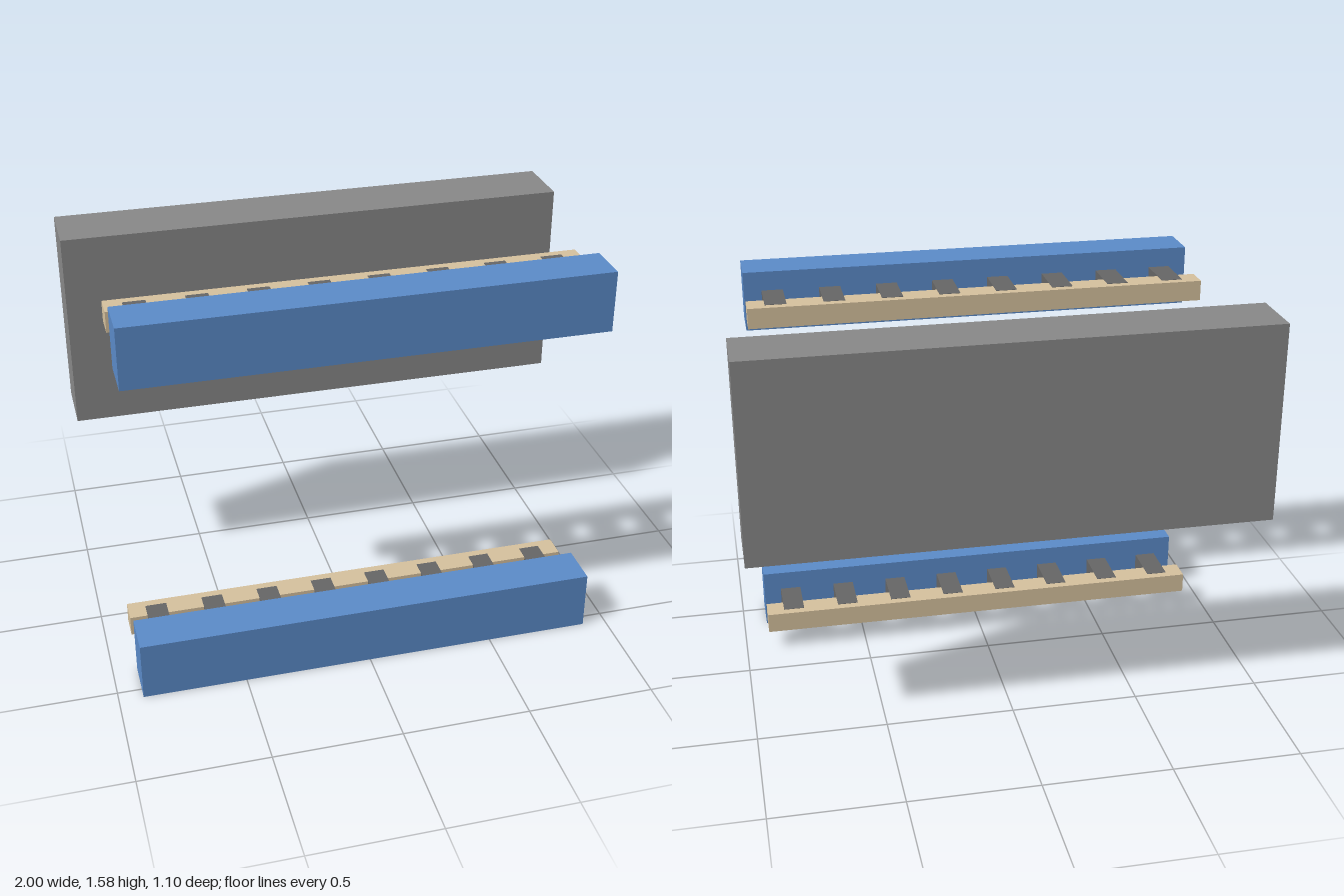
import * as THREE from 'three';

const blue = new THREE.MeshStandardMaterial({ color: 0x5b8bc9 });
const tan = new THREE.MeshStandardMaterial({ color: 0xd6c19e });
const grey = new THREE.MeshStandardMaterial({ color: 0x888888 });
const darkGrey = new THREE.MeshStandardMaterial({ color: 0x666666 });

// Box given by its extents along each axis
function block(name, [x0, x1], [y0, y1], [z0, z1], material) {
  const mesh = new THREE.Mesh(new THREE.BoxGeometry(x1 - x0, y1 - y0, z1 - z0), material);
  mesh.position.set((x0 + x1) / 2, (y0 + y1) / 2, (z0 + z1) / 2);
  mesh.name = name;
  return mesh;
}

// Beam with a row of short brackets carrying a thin rail behind it
function createRailAssembly(name) {
  const group = new THREE.Group();
  group.name = name;
  const span = [-0.905, 0.905];
  group.add(block('beam', span, [0, 0.238], [0.375, 0.548], blue));
  group.add(block('rail', span, [0.08, 0.161], [0.158, 0.254], tan));

  // Brackets run into the rail, a hair proud of its top and bottom
  const count = 8, spacing = 0.2268, half = 0.042;
  for (let i = 0; i < count; i++) {
    const x = (i - (count - 1) / 2) * spacing;
    group.add(block('bracket', [x - half, x + half], [0.079, 0.162], [0.191, 0.375], darkGrey));
  }
  return group;
}

export function createModel() {
  const model = new THREE.Group();
  model.name = 'railsAndSlab';

  // Large slab at the back
  model.add(block('slab', [-1, 1], [0.764, 1.552], [-0.548, -0.302], grey));

  // Matching lower and upper rail assemblies
  const lower = createRailAssembly('lowerRailAssembly');
  const upper = createRailAssembly('upperRailAssembly');
  upper.position.y = 1.34;
  model.add(lower, upper);

  return model;
}
